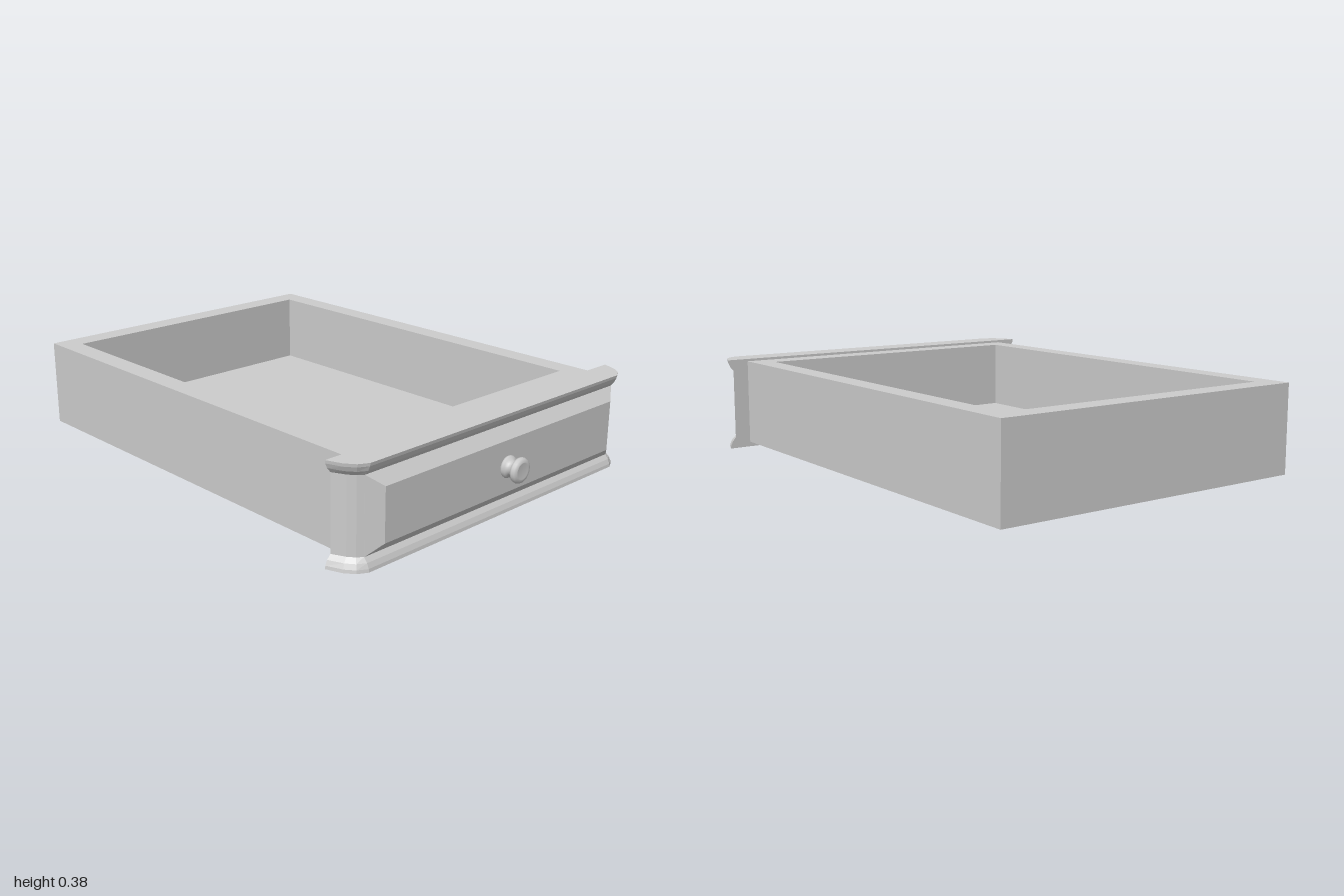
import * as THREE from 'three';

const mat = new THREE.MeshStandardMaterial({ color: 0xcccccc, flatShading: true });
const smooth = new THREE.MeshStandardMaterial({ color: 0xcccccc, side: THREE.DoubleSide });

function add(group, name, geometry, material = mat) {
  const mesh = new THREE.Mesh(geometry, material);
  mesh.name = name;
  group.add(mesh);
  return mesh;
}

// Closed solid from equal-length rings, stacked along their shared axis.
function loft(rings) {
  const n = rings[0].length, last = (rings.length - 1) * n, idx = [];
  for (let j = 0; j < rings.length - 1; j++) {
    for (let i = 0; i < n; i++) {
      const a = j * n + i, b = j * n + (i + 1) % n;
      idx.push(a, b, b + n, a, b + n, a + n);
    }
  }
  for (let i = 1; i < n - 1; i++) {
    idx.push(0, i + 1, i, last, last + i, last + i + 1);
  }
  const g = new THREE.BufferGeometry();
  g.setAttribute('position', new THREE.Float32BufferAttribute(rings.flat(2), 3));
  g.setIndex(idx);
  const flat = g.toNonIndexed();
  flat.computeVertexNormals();
  return flat;
}

// Plan outline of the drawer front at height y, pulled in by the cove depth.
function frontRing(y, inset) {
  const half = [
    [0.8, 0.76 - inset],
    [0.86 - inset * 0.4, 0.737 - inset],
    [0.895 - inset * 0.8, 0.71 - inset * 0.7],
    [0.915 - inset, 0.672],
  ];
  return [
    ...half.map(([x, z]) => [x, y, z]),
    ...half.reverse().map(([x, z]) => [x, y, -z]),
  ];
}

// Rectangle in a plane of constant x.
const rect = (x, y0, y1, z) => [[x, y0, z], [x, y0, -z], [x, y1, -z], [x, y1, z]];

function rectPath(Type, x0, x1, z) {
  const path = new Type();
  path.moveTo(x0, -z);
  path.lineTo(x1, -z);
  path.lineTo(x1, z);
  path.lineTo(x0, z);
  path.closePath();
  return path;
}

export function createModel() {
  const drawer = new THREE.Group();
  drawer.name = 'drawer';

  // Four thick walls
  const plan = rectPath(THREE.Shape, -1, 0.8, 0.67);
  plan.holes.push(rectPath(THREE.Path, -0.91, 0.71, 0.585));
  const walls = new THREE.ExtrudeGeometry(plan, { depth: 0.35, bevelEnabled: false });
  walls.rotateX(-Math.PI / 2);
  add(drawer, 'walls', walls).position.y = 0.02;

  // Floor
  add(drawer, 'floor', new THREE.BoxGeometry(1.62, 0.065, 1.17)).position.set(-0.1, 0.0525, 0);

  // Drawer front with coved top and bottom edges
  const levels = [[0, 0], [0.012, 0.002], [0.03, 0.01], [0.047, 0.024]];
  const mirrored = levels.map(([y, d]) => [0.38 - y, d]).reverse();
  add(drawer, 'drawerFront', loft([...levels, ...mirrored].map(([y, d]) => frontRing(y, d))));

  // Raised panel with sloping edges
  add(drawer, 'raisedPanel', loft([
    rect(0.85, 0.047, 0.333, 0.672),
    rect(0.892, 0.047, 0.333, 0.672),
    rect(0.93, 0.09, 0.29, 0.617),
  ]));

  // Turned knob
  const profile = [
    [0, -0.01], [0.038, -0.01], [0.042, 0.006], [0.038, 0.014], [0.028, 0.02], [0.027, 0.032],
    [0.036, 0.04], [0.046, 0.046], [0.048, 0.054], [0.045, 0.063], [0.034, 0.07],
    [0.03, 0.067], [0, 0.067],
  ].map(([r, h]) => new THREE.Vector2(r, h));
  const knob = add(drawer, 'knob', new THREE.LatheGeometry(profile, 24), smooth);
  knob.rotation.z = -Math.PI / 2;
  knob.position.set(0.93, 0.19, 0);

  return drawer;
}
